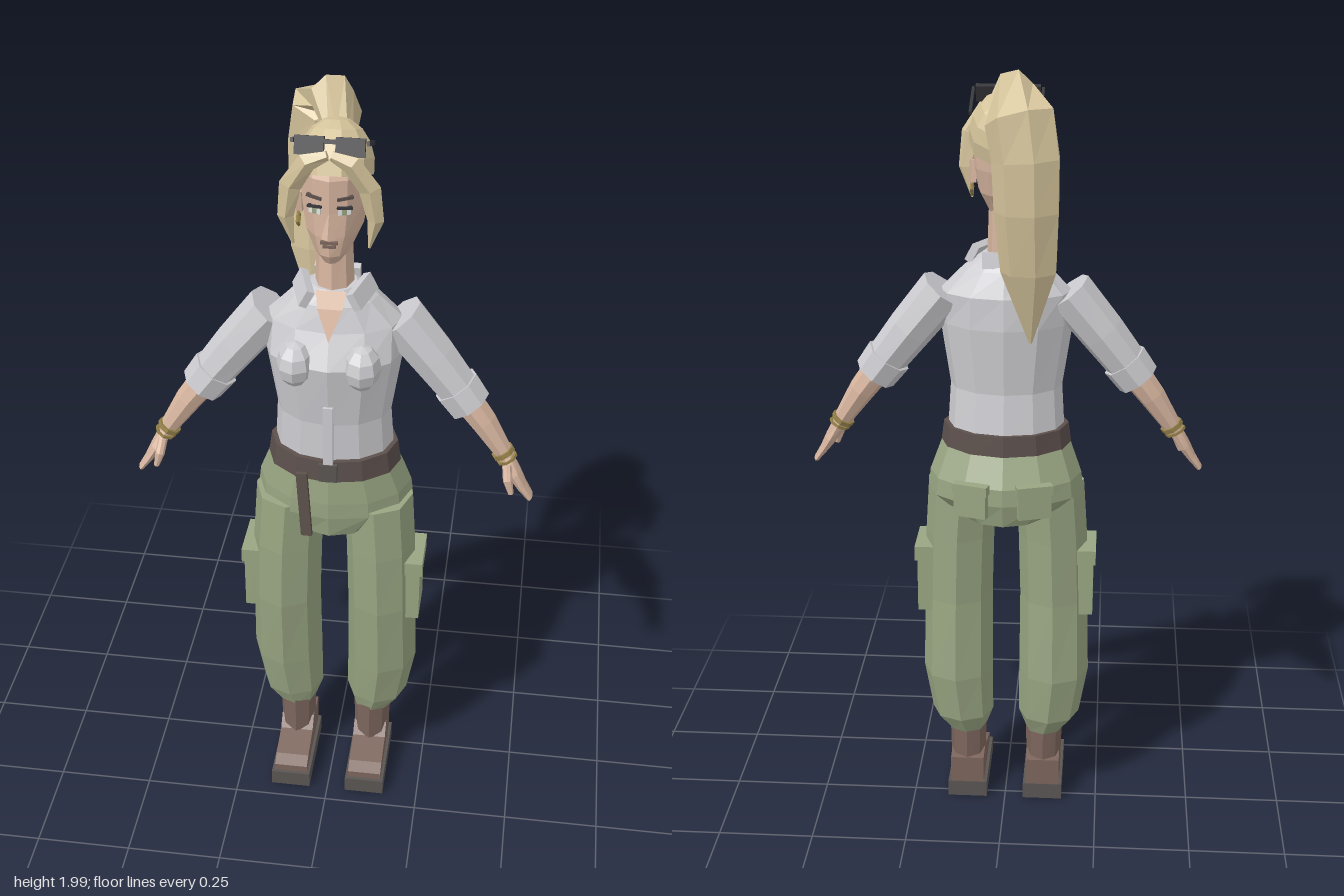
import * as THREE from 'three';

const M = {};
for (const [name, color] of Object.entries({
  shirtGrey: 0xcdcdd1, trouserGreen: 0x98a582, hairBlonde: 0xd6c59c, skin: 0xd8b6a0, bootBrown: 0x7c655c,
  soleGrey: 0x5a5553, beltBrown: 0x5c504c, black: 0x38383b, gold: 0x948048, eyeWhite: 0xe4e4e4,
})) {
  M[name] = new THREE.MeshStandardMaterial({ color });
  M[name].name = name;
}
M.skin.side = THREE.DoubleSide;

const X = new THREE.Vector3(1, 0, 0), Y = new THREE.Vector3(0, 1, 0), Z = new THREE.Vector3(0, 0, 1);

// Faceted mesh
function part(parent, name, geometry, material, pos = [0, 0, 0], rot = [0, 0, 0]) {
  const g = geometry.index ? geometry.toNonIndexed() : geometry;
  g.computeVertexNormals();
  const mesh = new THREE.Mesh(g, material);
  mesh.name = name;
  mesh.position.set(...pos);
  mesh.rotation.set(...rot);
  parent.add(mesh);
  return mesh;
}
const box = (w, h, d) => new THREE.BoxGeometry(w, h, d);

// Skin over elliptical rings [x, y, z, half width along ref, half depth]; axis fixes the ring normal
function loft(rings, { sides = 8, ref = X, axis = null } = {}) {
  const centres = rings.map(r => new THREE.Vector3(r[0], r[1], r[2]));
  const n = rings.length, pos = [], idx = [];
  rings.forEach((r, i) => {
    const t = axis ? axis.clone() : centres[Math.min(i + 1, n - 1)].clone().sub(centres[Math.max(i - 1, 0)]).normalize();
    const u = ref.clone().addScaledVector(t, -ref.dot(t)).normalize();
    const v = t.clone().cross(u);
    for (let j = 0; j < sides; j++) {
      const a = (j / sides) * Math.PI * 2;
      const p = centres[i].clone().addScaledVector(u, r[3] * Math.cos(a)).addScaledVector(v, r[4] * Math.sin(a));
      pos.push(p.x, p.y, p.z);
    }
  });
  for (let i = 0; i < n - 1; i++) for (let j = 0; j < sides; j++) {
    const a = i * sides + j, b = i * sides + (j + 1) % sides;
    idx.push(a, b, b + sides, a, b + sides, a + sides);
  }
  const top = (n - 1) * sides;
  for (let j = 1; j < sides - 1; j++) idx.push(0, j + 1, j, top, top + j, top + j + 1);
  const g = new THREE.BufferGeometry();
  g.setAttribute('position', new THREE.Float32BufferAttribute(pos, 3));
  g.setIndex(idx);
  return g;
}
// Upright body section from [y, front z, back z, half width]
const upright = (rows, sides = 12) =>
  loft(rows.map(([y, f, b, a]) => [0, y, (f + b) / 2, a, (f - b) / 2]), { sides, axis: Y });

function buildLeg(root, s) {
  const leg = new THREE.Group();
  leg.name = s > 0 ? 'leftLeg' : 'rightLeg';
  root.add(leg);
  part(leg, 'trouserLeg', loft([
    [s * .105, .2, .035, .052, .06], [s * .117, .25, .03, .082, .082], [s * .129, .38, .033, .093, .1],
    [s * .127, .6, .05, .09, .104], [s * .122, .78, .05, .09, .106], [s * .112, .93, .045, .09, .106]], { axis: Y }), M.trouserGreen);
  part(leg, 'cargoPocket', box(.05, .17, .12), M.trouserGreen, [s * .206, .65, .046]);
  part(leg, 'pocketFlap', box(.058, .04, .134), M.trouserGreen, [s * .208, .732, .046]);
  part(leg, 'backPocket', box(.085, .08, .02), M.trouserGreen, [s * .08, .925, -.113], [0, -s * .3, 0]);
  part(leg, 'backPocketFlap', box(.092, .025, .026), M.trouserGreen, [s * .08, .96, -.113], [0, -s * .3, 0]);
  // Boot
  part(leg, 'bootShaft', loft([[s * .104, .05, .035, .046, .06], [s * .104, .23, .037, .05, .062]], { axis: Y }), M.bootBrown);
  const profile = new THREE.Shape([[-.027, .04], [.2, .04], [.2, .065], [.17, .08], [.09, .1], [.06, .13], [-.027, .12]]
    .map(p => new THREE.Vector2(...p)));
  const foot = new THREE.ExtrudeGeometry(profile, { depth: .09, bevelEnabled: false }).rotateY(-Math.PI / 2);
  part(leg, 'bootFoot', foot, M.bootBrown, [s * .103 + .045, 0, 0]);
  part(leg, 'bootSole', box(.106, .045, .238), M.soleGrey, [s * .103, .0225, .09]);
}

function buildArm(root, s) {
  const arm = new THREE.Group();
  arm.name = s > 0 ? 'leftArm' : 'rightArm';
  root.add(arm);
  const limb = (name, rings, mat) =>
    part(arm, name, loft(rings.map(([x, ...r]) => [s * x, ...r]), { ref: Z }), mat);
  limb('sleeve', [[.155, 1.44, .027, .07, .062], [.24, 1.335, .03, .064, .058], [.33, 1.218, .036, .053, .05]], M.shirtGrey);
  limb('sleeveCuff', [[.297, 1.26, .034, .061, .06], [.334, 1.21, .037, .058, .056]], M.shirtGrey);
  limb('forearm', [[.31, 1.245, .036, .042, .04], [.37, 1.165, .04, .038, .034], [.432, 1.07, .048, .025, .022]], M.skin);
  limb('bracelet', [[.42, 1.087, .047, .033, .03], [.426, 1.077, .048, .033, .03]], M.gold);
  limb('bangle', [[.431, 1.07, .049, .03, .028], [.434, 1.064, .049, .03, .028]], M.gold);
  limb('hand', [[.43, 1.075, .048, .024, .018], [.455, 1.03, .058, .035, .017], [.476, .996, .062, .03, .012], [.498, .965, .064, .024, .008]], M.skin);
  limb('thumb', [[.435, 1.06, .075, .014, .012], [.44, 1.03, .098, .013, .012], [.45, .995, .102, .008, .007]], M.skin);
}

function buildHead(root) {
  const head = new THREE.Group();
  head.name = 'head';
  root.add(head);
  part(head, 'neck', upright([[1.45, .1, -.02, .05], [1.66, .09, -.02, .042]], 8), M.skin);
  part(head, 'face', upright([[1.615, .115, .045, .022], [1.64, .132, -.02, .045], [1.69, .136, -.055, .068],
    [1.75, .134, -.07, .078], [1.83, .135, -.075, .081], [1.88, .11, -.05, .065]]), M.skin);
  part(head, 'nose', new THREE.ConeGeometry(.017, .065, 4), M.skin, [0, 1.725, .137], [-.2, 0, 0]);
  part(head, 'upperLip', box(.04, .007, .009), M.bootBrown, [0, 1.679, .133]);
  part(head, 'lowerLip', box(.03, .007, .009), M.bootBrown, [0, 1.669, .132]);
  for (const s of [1, -1]) {
    const turn = s * .35;
    part(head, 'eye', box(.03, .014, .008), M.eyeWhite, [s * .033, 1.754, .122], [0, turn, 0]);
    part(head, 'iris', box(.011, .014, .009), M.trouserGreen, [s * .033, 1.754, .123], [0, turn, 0]);
    part(head, 'eyelid', box(.036, .006, .009), M.black, [s * .034, 1.764, .123], [0, turn, -s * .1]);
    part(head, 'eyebrow', box(.038, .007, .009), M.beltBrown, [s * .035, 1.787, .122], [0, turn, s * .1]);
    part(head, 'ear', box(.014, .055, .03), M.skin, [s * .08, 1.735, .03], [.15, s * .2, 0]);
    part(head, 'earring', new THREE.TorusGeometry(.017, .004, 4, 4), M.gold, [s * .084, 1.69, .045], [0, Math.PI / 2, 0]);
    part(head, 'sideLock', loft([[s * .005, 1.89, .125, .012, .012], [s * .05, 1.875, .128, .018, .024], [s * .09, 1.81, .113, .02, .027],
      [s * .103, 1.73, .105, .018, .02], [s * .088, 1.655, .1, .003, .003]], { sides: 5, ref: Z }), M.hairBlonde);
  }
  // Hair cap, higher at the forehead than at the nape
  const cap = new THREE.SphereGeometry(1, 10, 5, 0, Math.PI * 2, 0, Math.PI * .55).scale(.09, .108, .112);
  M.hairBlonde.side = THREE.DoubleSide;
  part(head, 'hairCap', cap, M.hairBlonde, [0, 1.822, .025], [-.35, 0, 0]);
  part(head, 'ponytail', loft([[.005, 1.87, -.02, .03, .03], [-.025, 1.942, -.09, .052, .055], [-.045, 1.895, -.142, .085, .06],
    [-.06, 1.8, -.152, .083, .055], [-.062, 1.68, -.148, .08, .052], [-.066, 1.53, -.13, .07, .04], [-.068, 1.345, -.105, .004, .004]],
    { sides: 7 }), M.hairBlonde);
  // Sunglasses pushed up on the hair
  const glasses = new THREE.Group();
  glasses.name = 'sunglasses';
  glasses.position.set(0, 1.908, .117);
  glasses.rotation.x = -.4;
  head.add(glasses);
  part(glasses, 'bridge', box(.04, .01, .012), M.black, [0, .01, 0]);
  for (const s of [1, -1]) {
    part(glasses, 'lens', box(.066, .042, .014), M.black, [s * .046, 0, 0]);
    part(glasses, 'temple', box(.007, .01, .11), M.black, [s * .085, .01, -.052]);
  }
}

function buildTorso(root) {
  part(root, 'shirt', upright([[1.06, .15, -.075, .15], [1.19, .152, -.058, .142], [1.36, .18, -.075, .168],
    [1.44, .138, -.07, .165], [1.5, .12, -.045, .105], [1.535, .1, -.01, .055]]), M.shirtGrey);
  part(root, 'shirtPlacket', box(.024, .2, .012), M.shirtGrey, [0, 1.15, .162]);
  // Open neckline
  const neckline = new THREE.BufferGeometry();
  neckline.setAttribute('position', new THREE.Float32BufferAttribute(
    [-.036, 1.538, .104, .036, 1.538, .104, -.03, 1.5, .126, .03, 1.5, .126, 0, 1.425, .153], 3));
  neckline.setIndex([0, 2, 1, 1, 2, 3, 2, 4, 3]);
  part(root, 'neckline', neckline, M.skin);
  for (const s of [1, -1]) {
    part(root, 'bust', new THREE.SphereGeometry(1, 8, 6).scale(.046, .058, .058), M.shirtGrey, [s * .08, 1.36, .143]);
    part(root, 'collar', box(.02, .045, .1), M.shirtGrey, [s * .07, 1.525, .075], [.1, -s * .3, s * .5]);
  }
  part(root, 'collarBack', box(.11, .04, .02), M.shirtGrey, [0, 1.525, -.018], [.2, 0, 0]);
  part(root, 'belt', upright([[1.03, .166, -.086, .168], [1.088, .163, -.082, .16]]), M.beltBrown);
  part(root, 'beltBuckle', box(.045, .05, .01), M.soleGrey, [0, 1.06, .166]);
  part(root, 'hangingStrap', box(.028, .19, .01), M.beltBrown, [-.06, .96, .169], [0, -.1, .06]);
  part(root, 'hips', upright([[.855, .155, -.11, .12], [.915, .165, -.124, .2], [.96, .166, -.122, .195], [1.04, .16, -.083, .165]]), M.trouserGreen);
}

export function createModel() {
  const model = new THREE.Group();
  model.name = 'standingWoman';
  buildTorso(model);
  buildHead(model);
  for (const s of [1, -1]) {
    buildLeg(model, s);
    buildArm(model, s);
  }
  return model;
}
